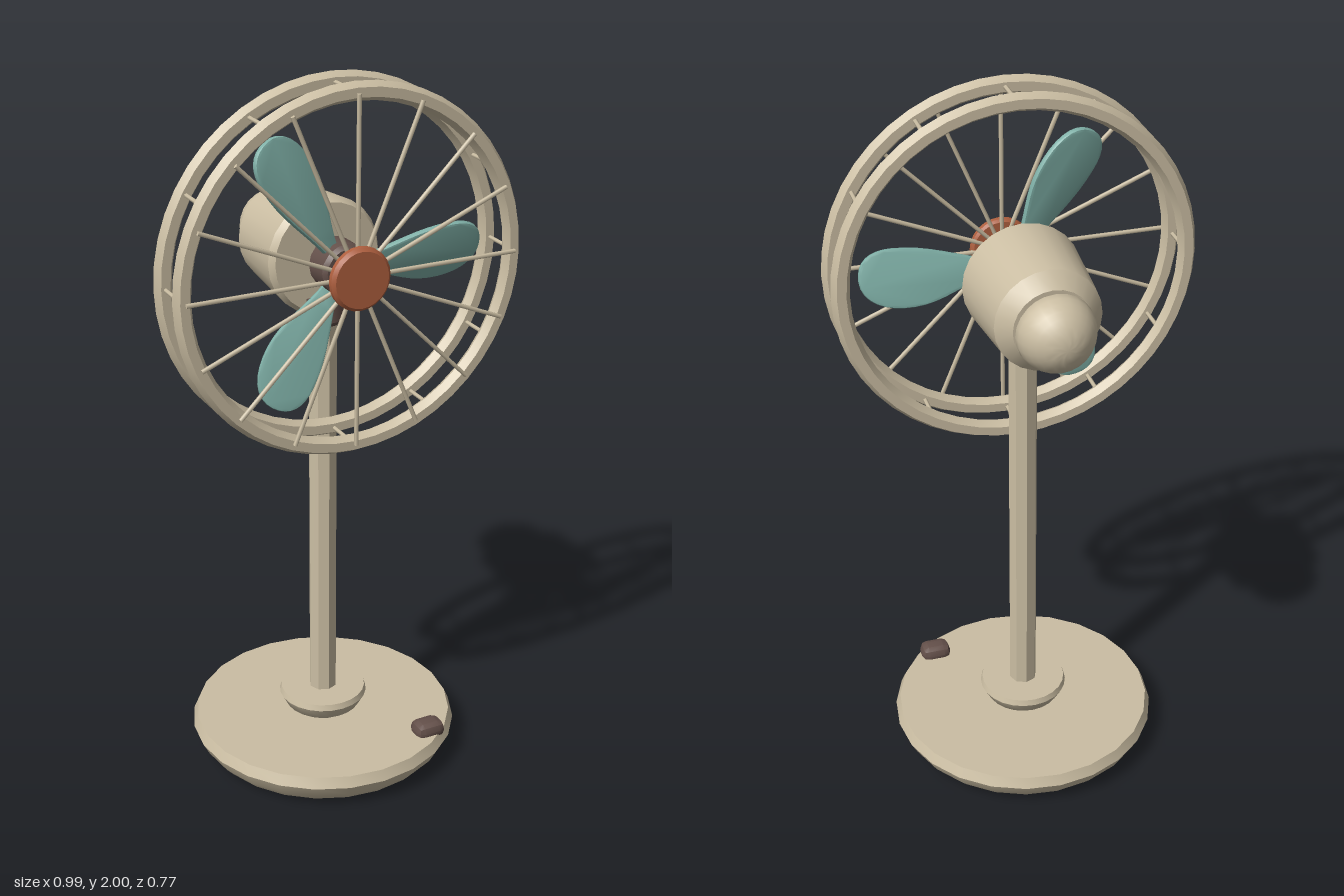
import * as THREE from 'three';
import { toCreasedNormals } from 'three/addons/utils/BufferGeometryUtils.js';
import { RoundedBoxGeometry } from 'three/addons/geometries/RoundedBoxGeometry.js';

const CENTRE_Y = 1.505; // height of the fan axis

const material = (name, color) => {
  const m = new THREE.MeshStandardMaterial({ color });
  m.name = name;
  return m;
};

function part(parent, name, geometry, mat) {
  const mesh = new THREE.Mesh(geometry, mat);
  mesh.name = name;
  parent.add(mesh);
  return mesh;
}

// Turned solid from [radius, height] pairs, bottom to top, with sharp profile corners
function turned(profile, sides = 24, crease = 0.5) {
  const points = profile.map(([r, y]) => new THREE.Vector2(r, y));
  return toCreasedNormals(new THREE.LatheGeometry(points, sides), crease);
}

// The same, lying along the z axis
const turnedZ = (profile, sides, crease) => turned(profile, sides, crease).rotateX(Math.PI / 2);

// Leaf-shaped blade along +x, pitched about its own length
function bladeGeometry() {
  const s = new THREE.Shape();
  s.moveTo(0.05, -0.012);
  s.bezierCurveTo(0.14, -0.03, 0.19, -0.072, 0.27, -0.074);
  s.bezierCurveTo(0.35, -0.076, 0.405, -0.045, 0.406, 0.005);
  s.bezierCurveTo(0.408, 0.055, 0.375, 0.077, 0.32, 0.076);
  s.bezierCurveTo(0.22, 0.074, 0.15, 0.035, 0.05, 0.014);
  const g = new THREE.ExtrudeGeometry(s, {
    depth: 0.008, curveSegments: 8, bevelEnabled: true,
    bevelThickness: 0.005, bevelSize: 0.006, bevelSegments: 2,
  });
  g.translate(0, 0, -0.004);
  return toCreasedNormals(g.rotateX(0.26), 0.6);
}

export function createModel() {
  const cream = material('cream enamel', 0xcbbea3);
  const teal = material('teal blade', 0x7fb0a7);
  const copper = material('copper cap', 0xb0603f);
  const dark = material('dark brown', 0x64504a);

  const model = new THREE.Group();
  model.name = 'deskFan';

  // Stand
  part(model, 'base', turned([
    [0, 0], [0.31, 0], [0.345, 0.015], [0.367, 0.04], [0.385, 0.075], [0.372, 0.105], [0, 0.105],
  ]), cream);
  part(model, 'poleFoot', turned([
    [0, 0.1], [0.08, 0.105], [0.108, 0.125], [0.127, 0.16], [0.122, 0.177], [0, 0.177],
  ]), cream);
  const pole = new THREE.CylinderGeometry(0.04, 0.04, 1.25, 8);
  part(model, 'pole', toCreasedNormals(pole, 0.5), cream).position.y = 0.735;
  part(model, 'neckCollar', turned([
    [0, 1.322], [0.055, 1.322], [0.065, 1.335], [0.065, 1.4], [0, 1.4],
  ], 16), dark);
  part(model, 'switchKnob', toCreasedNormals(new RoundedBoxGeometry(0.09, 0.05, 0.07, 1, 0.022), 0.4), dark)
    .position.set(0.209, 0.112, 0.26);

  const head = new THREE.Group();
  head.name = 'fanHead';
  head.position.y = CENTRE_Y;
  model.add(head);

  // Motor housing with its rear dome
  part(head, 'motorHousing', turnedZ([
    [0, -0.262], [0.104, -0.262], [0.142, -0.224], [0.162, 0.005], [0.15, 0.025], [0, 0.025],
  ]), cream);
  const dome = [[0.085, -0.25]];
  for (let i = 0; i <= 8; i++) {
    const a = (i / 8) * Math.PI / 2;
    dome.unshift([0.104 * Math.cos(a), -0.282 - 0.104 * Math.sin(a)]);
  }
  part(head, 'rearDome', turnedZ(dome, 24, 1.2), cream);

  // Blades on a dark hub
  part(head, 'shaft', turnedZ([[0, 0.02], [0.025, 0.02], [0.025, 0.2], [0, 0.2]], 12), dark);
  part(head, 'bladeHub', turnedZ([
    [0, 0.06], [0.07, 0.06], [0.07, 0.135], [0.06, 0.147], [0, 0.147],
  ], 16), dark);
  const blade = bladeGeometry();
  for (let i = 0; i < 3; i++) {
    const mesh = part(head, 'blade', blade, teal);
    mesh.position.z = 0.104;
    mesh.rotation.z = (i * 2 * Math.PI) / 3;
  }

  // Guard: two six-sided hoops joined by short posts
  const hoop = toCreasedNormals(new THREE.TorusGeometry(0.472, 0.025, 6, 48), 0.6);
  part(head, 'rearHoop', hoop, cream).position.z = 0.049;
  part(head, 'frontHoop', hoop, cream).position.z = 0.173;
  const post = new THREE.CylinderGeometry(0.006, 0.006, 0.124, 6).rotateX(Math.PI / 2);
  for (let i = 0; i < 12; i++) {
    const a = (i * Math.PI) / 6;
    part(head, 'guardPost', post, cream)
      .position.set(0.472 * Math.cos(a), 0.472 * Math.sin(a), 0.111);
  }

  // Front spokes and the cap that gathers them
  const spoke = new THREE.CylinderGeometry(0.006, 0.006, 0.42, 6)
    .rotateZ(-Math.PI / 2).translate(0.26, 0, 0.198);
  for (let i = 0; i < 16; i++) {
    part(head, 'guardSpoke', spoke, cream).rotation.z = (i * Math.PI) / 8;
  }
  part(head, 'frontCap', turnedZ([
    [0, 0.197], [0.078, 0.197], [0.085, 0.203], [0.085, 0.216], [0.076, 0.225], [0, 0.225],
  ]), copper);

  return model;
}
